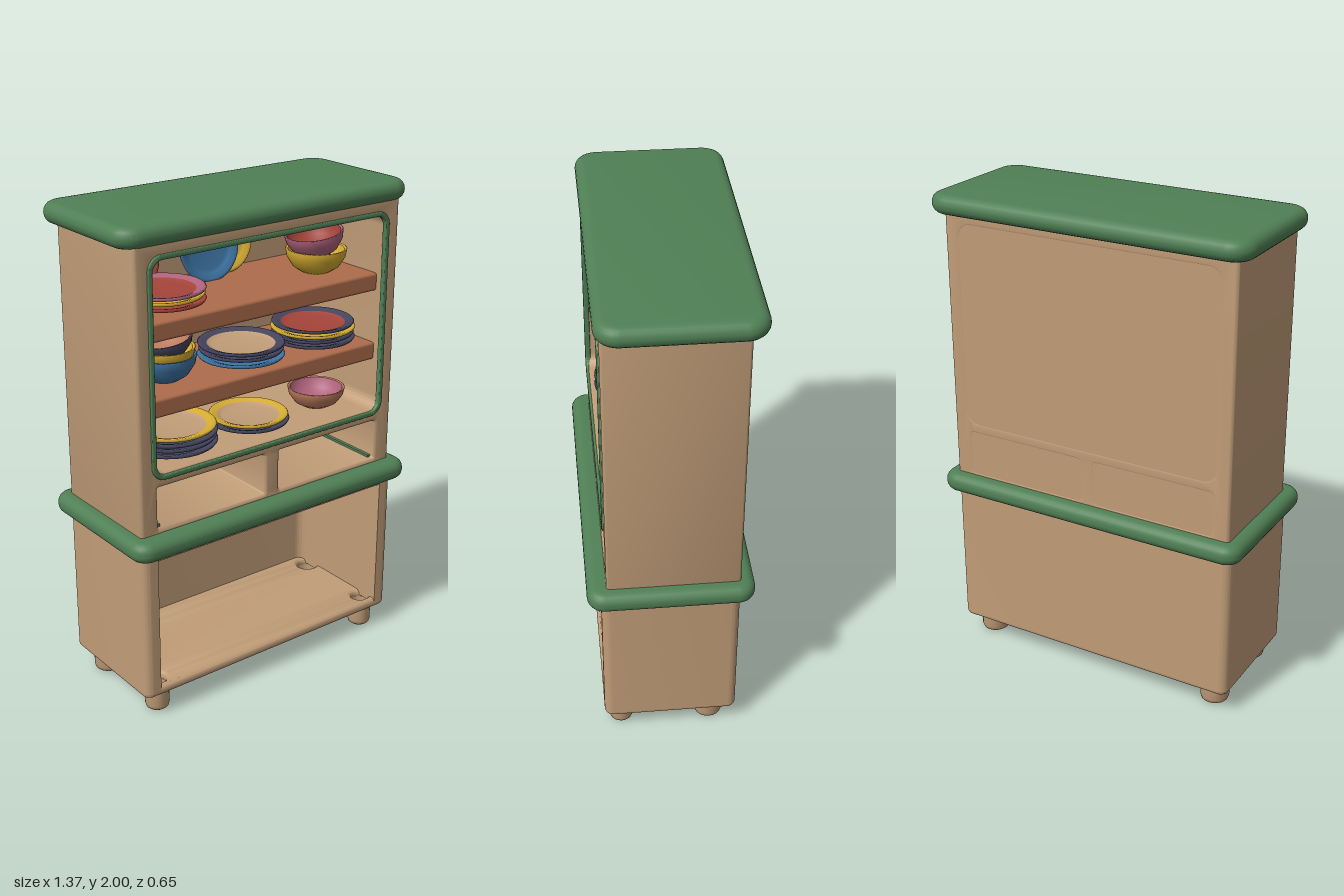
import * as THREE from 'three';
import { toCreasedNormals } from 'three/addons/utils/BufferGeometryUtils.js';
import { RoundedBoxGeometry } from 'three/addons/geometries/RoundedBoxGeometry.js';

const material = (name, color) => {
  const m = new THREE.MeshStandardMaterial({ color });
  m.name = name;
  return m;
};
const wood = material('pale wood', 0xc19d78);
const green = material('green paint', 0x508055);
const brown = material('shelf brown', 0xae6c4b);
const red = material('red glaze', 0xa5443a);
const blue = material('blue glaze', 0x3f76a6);
const yellow = material('yellow glaze', 0xd6ad32);
const pink = material('pink glaze', 0xb0637d);
const navy = material('navy glaze', 0x45455f);
const clay = material('clay glaze', 0xbd7a5c);

// Rounded rectangle traced into a Shape or Path
function roundRect(x0, x1, y0, y1, r, Type = THREE.Shape) {
  const p = new Type();
  p.moveTo(x0 + r, y0);
  p.lineTo(x1 - r, y0);
  p.absarc(x1 - r, y0 + r, r, -Math.PI / 2, 0);
  p.lineTo(x1, y1 - r);
  p.absarc(x1 - r, y1 - r, r, 0, Math.PI / 2);
  p.lineTo(x0 + r, y1);
  p.absarc(x0 + r, y1 - r, r, Math.PI / 2, Math.PI);
  p.lineTo(x0, y0 + r);
  p.absarc(x0 + r, y0 + r, r, Math.PI, Math.PI * 1.5);
  return p;
}

// Extrusion from a to b along z with rounded ends kept inside the outline
function extrude(shape, a, b, bevel) {
  const geo = new THREE.ExtrudeGeometry(shape, {
    depth: b - a - 2 * bevel, bevelEnabled: bevel > 0, bevelThickness: bevel,
    bevelSize: bevel, bevelOffset: -bevel, bevelSegments: 5, curveSegments: 10,
  });
  geo.translate(0, 0, a + bevel);
  return toCreasedNormals(geo, 0.6);
}

// The same, with the outline drawn in plan (x, -z) and extruded upward
const extrudeUp = (shape, a, b, bevel) => extrude(shape, a, b, bevel).rotateX(-Math.PI / 2);

export function createModel() {
  const group = new THREE.Group();
  const add = (name, geo, mat, parent = group) => {
    const mesh = new THREE.Mesh(geo, mat);
    mesh.name = name;
    parent.add(mesh);
    return mesh;
  };
  const box = (name, mat, x0, x1, y0, y1, z0, z1, r = 0) => {
    const size = [x1 - x0, y1 - y0, z1 - z0];
    const geo = r ? new RoundedBoxGeometry(...size, 3, r) : new THREE.BoxGeometry(...size);
    return add(name, geo.translate((x0 + x1) / 2, (y0 + y1) / 2, (z0 + z1) / 2), mat);
  };

  // Green tops
  add('topBoard', extrudeUp(roundRect(-0.685, 0.685, -0.27, 0.33, 0.09), 1.92, 2, 0.038), green);
  add('counter', extrudeUp(roundRect(-0.685, 0.685, -0.325, 0.325, 0.07), 0.725, 0.808, 0.038), green);

  // Upper cabinet with a display opening and two drawer openings
  const upper = roundRect(-0.63, 0.63, 0.775, 1.94, 0.02);
  upper.holes.push(
    roundRect(-0.56, 0.56, 1.05, 1.875, 0.05, THREE.Path),
    roundRect(-0.55, -0.04, 0.825, 0.995, 0.008, THREE.Path),
    roundRect(0.035, 0.545, 0.825, 0.995, 0.008, THREE.Path),
  );
  add('upperCabinet', extrude(upper, -0.27, 0.25, 0.015), wood);
  box('upperBack', wood, -0.61, 0.61, 0.8, 1.92, -0.269, -0.235);
  for (const s of [-1, 1]) box('drawerRunner', green, s * 0.54 - 0.009, s * 0.54 + 0.009, 0.82, 0.835, -0.24, 0.23);

  // Green trim around the display opening
  const trim = roundRect(-0.575, 0.575, 1.025, 1.89, 0.06);
  trim.holes.push(roundRect(-0.555, 0.555, 1.045, 1.87, 0.045, THREE.Path));
  add('openingTrim', extrude(trim, 0.235, 0.258, 0.005), green);

  // Shelves
  for (const y of [1.255, 1.55]) box('shelf', brown, -0.565, 0.565, y, y + 0.075, -0.24, 0.21, 0.012);

  // Lower cabinet: floor with foot sockets, and walls open at the front
  const feet = [[-0.545, 0.2, 0.05], [0.545, 0.2, 0.05], [-0.545, -0.165, 0.06], [0.545, -0.165, 0.06]];
  const floor = roundRect(-0.638, 0.638, -0.27, 0.27, 0.035);
  for (const [x, z, r] of feet) {
    const hole = new THREE.Path();
    hole.absarc(x, -z, r * 0.75, 0, Math.PI * 2);
    floor.holes.push(hole);
  }
  add('lowerFloor', extrudeUp(floor, 0.098, 0.142, 0.02), wood);
  const walls = new THREE.Shape();
  const e = 0.638, f = 0.27, r = 0.035, w = 0.57, c = 0.04;
  walls.moveTo(-e + r, -f);
  walls.lineTo(-w, -f);
  walls.lineTo(-w, 0.235 - c);
  walls.absarc(-w + c, 0.235 - c, c, Math.PI, Math.PI / 2, true);
  walls.lineTo(w - c, 0.235);
  walls.absarc(w - c, 0.235 - c, c, Math.PI / 2, 0, true);
  walls.lineTo(w, -f);
  walls.lineTo(e - r, -f);
  walls.absarc(e - r, -f + r, r, -Math.PI / 2, 0);
  walls.lineTo(e, f - r);
  walls.absarc(e - r, f - r, r, 0, Math.PI / 2);
  walls.lineTo(-e + r, f);
  walls.absarc(-e + r, f - r, r, Math.PI / 2, Math.PI);
  walls.lineTo(-e, -f + r);
  walls.absarc(-e + r, -f + r, r, Math.PI, Math.PI * 1.5);
  add('lowerWalls', extrudeUp(walls, 0.119, 0.74, 0), wood);
  box('lowerCeiling', wood, -0.6, 0.6, 0.7, 0.74, -0.25, 0.266);

  // Hollow round feet
  const lathe = (pts, seg = 36) => new THREE.LatheGeometry(pts.map(([x, y]) => new THREE.Vector2(x, y)), seg);
  for (const [x, z, fr] of feet) {
    const geo = lathe([[0, 0.005], [fr * 0.7, 0.006], [fr * 0.92, 0.015], [fr, 0.03], [fr, 0.11],
      [fr * 0.78, 0.11], [fr * 0.75, 0.05], [0, 0.045]], 20);
    add('foot', toCreasedNormals(geo, 0.8), wood).position.set(x, 0, z);
  }

  // Crockery: an outer shell and an inner face for each piece
  const dish = (name, shell, inner, mat, innerMat, x, y, z, tilt = [0, 0]) => {
    const g = new THREE.Group();
    g.name = name;
    g.position.set(x, y, z);
    g.rotation.set(tilt[0], 0, tilt[1]);
    add(name + 'Shell', lathe(shell), mat, g);
    add(name + 'Inside', lathe(inner), innerMat, g);
    group.add(g);
  };
  const plate = (x, y, z, r, mat, innerMat = mat, tilt, h = 0.032) => dish('plate',
    [[0, 0], [r * 0.6, 0], [r * 0.97, h * 0.6], [r, h * 0.85], [r * 0.97, h], [r * 0.9, h * 0.92], [r * 0.78, h * 0.7]],
    [[r * 0.78, h * 0.7], [r * 0.65, h * 0.35], [0, h * 0.3]], mat, innerMat, x, y, z, tilt);
  const bowl = (x, y, z, r, h, mat, innerMat = mat, tilt) => dish('bowl',
    [[0, 0], [r * 0.45, 0], [r * 0.75, h * 0.25], [r * 0.95, h * 0.65], [r, h * 0.97], [r * 0.96, h], [r * 0.91, h * 0.95]],
    [[r * 0.91, h * 0.95], [r * 0.8, h * 0.5], [r * 0.5, h * 0.2], [0, h * 0.14]], mat, innerMat, x, y, z, tilt);
  const stack = (x, y, z, r, step, mats, innerMat) => mats.forEach((m, i) =>
    plate(x, y + i * step, z, r - (i % 2) * 0.005, m, i === mats.length - 1 ? innerMat : m));

  // Top shelf
  const lean = [Math.PI / 2 - 0.15, 0];
  stack(-0.37, 1.625, 0.03, 0.172, 0.021, [red, yellow, pink], red);
  plate(-0.385, 1.745, -0.19, 0.14, red, red, lean);
  plate(0.085, 1.75, -0.2, 0.13, yellow, yellow, lean);
  plate(-0.03, 1.755, -0.155, 0.143, blue, blue, lean);
  bowl(0.38, 1.625, 0.04, 0.125, 0.1, yellow);
  bowl(0.38, 1.695, 0.04, 0.12, 0.1, pink, red, [0, 0.16]);

  // Middle shelf
  bowl(-0.37, 1.33, 0.04, 0.127, 0.105, blue);
  bowl(-0.37, 1.375, 0.04, 0.122, 0.09, yellow);
  bowl(-0.37, 1.425, 0.04, 0.12, 0.08, navy, clay, [0, 0.13]);
  stack(0, 1.33, 0.04, 0.175, 0.024, [blue, navy, navy], wood);
  stack(0.37, 1.33, 0.04, 0.175, 0.021, [navy, navy, yellow, navy], red);

  // Bottom of the display opening
  stack(-0.35, 1.05, 0.04, 0.19, 0.022, [navy, navy, navy, yellow], wood);
  stack(0.03, 1.05, 0.05, 0.167, 0.02, [navy, yellow], wood);
  bowl(0.38, 1.05, 0.06, 0.12, 0.085, clay, pink);

  return group;
}
